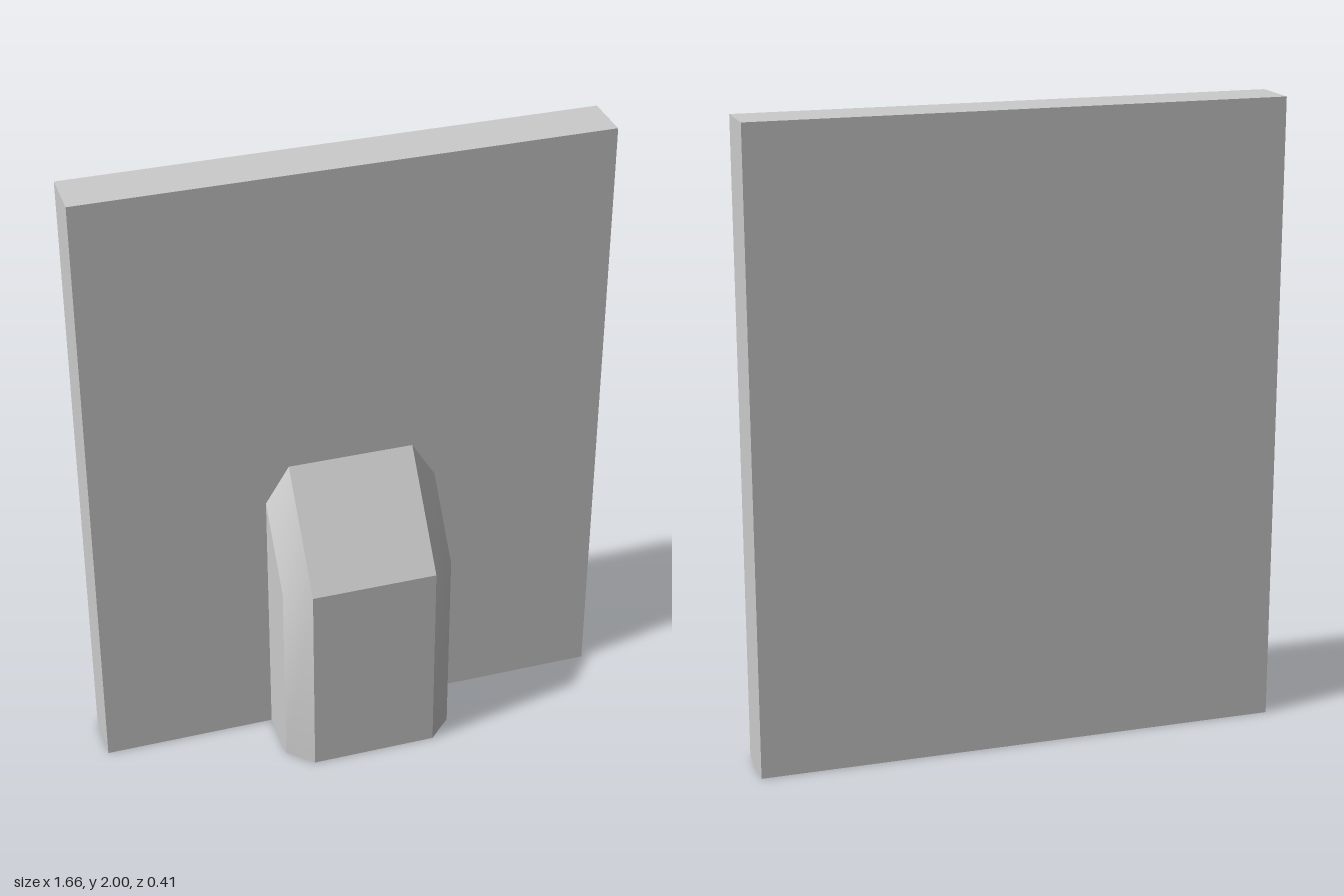
import * as THREE from 'three';
import { toCreasedNormals } from 'three/addons/utils/BufferGeometryUtils.js';

const grey = new THREE.MeshStandardMaterial({ color: 0xcccccc });
const BACK = -0.207, FACE = -0.042, FRONT = 0.207;

// Joins four-cornered side profiles of [x, [[z, y], ...]] into a closed solid
function loft(sections) {
  const points = sections.map(([x, profile]) => profile.map(([z, y]) => [x, y, z]));
  const pos = [];
  const quad = (a, b, c, d) => pos.push(...a, ...b, ...c, ...a, ...c, ...d);
  for (let i = 0; i < points.length - 1; i++) {
    const p = points[i], q = points[i + 1];
    for (let j = 0; j < 4; j++) {
      const k = (j + 1) % 4;
      quad(p[j], q[j], q[k], p[k]);
    }
  }
  quad(...points[0]);
  quad(...[...points[points.length - 1]].reverse());
  const geometry = new THREE.BufferGeometry();
  geometry.setAttribute('position', new THREE.Float32BufferAttribute(pos, 3));
  return toCreasedNormals(geometry, Math.PI / 6);
}

export function createModel() {
  const model = new THREE.Group();

  // Upright slab
  const panel = new THREE.Mesh(new THREE.BoxGeometry(1.665, 2, FACE - BACK), grey);
  panel.name = 'panel';
  panel.position.set(0, 1, (FACE + BACK) / 2);
  model.add(panel);

  // Chamfered block with a sloping top, standing against the slab
  const middle = [[FACE, 0], [FRONT, 0], [FRONT, 0.667], [FACE, 1]];
  const edge = [[FACE, 0], [0.132, 0], [0.132, 0.645], [FACE, 0.877]];
  const block = new THREE.Mesh(
    loft([[-0.278, edge], [-0.202, middle], [0.202, middle], [0.278, edge]]), grey);
  block.name = 'buttress';
  model.add(block);

  return model;
}
